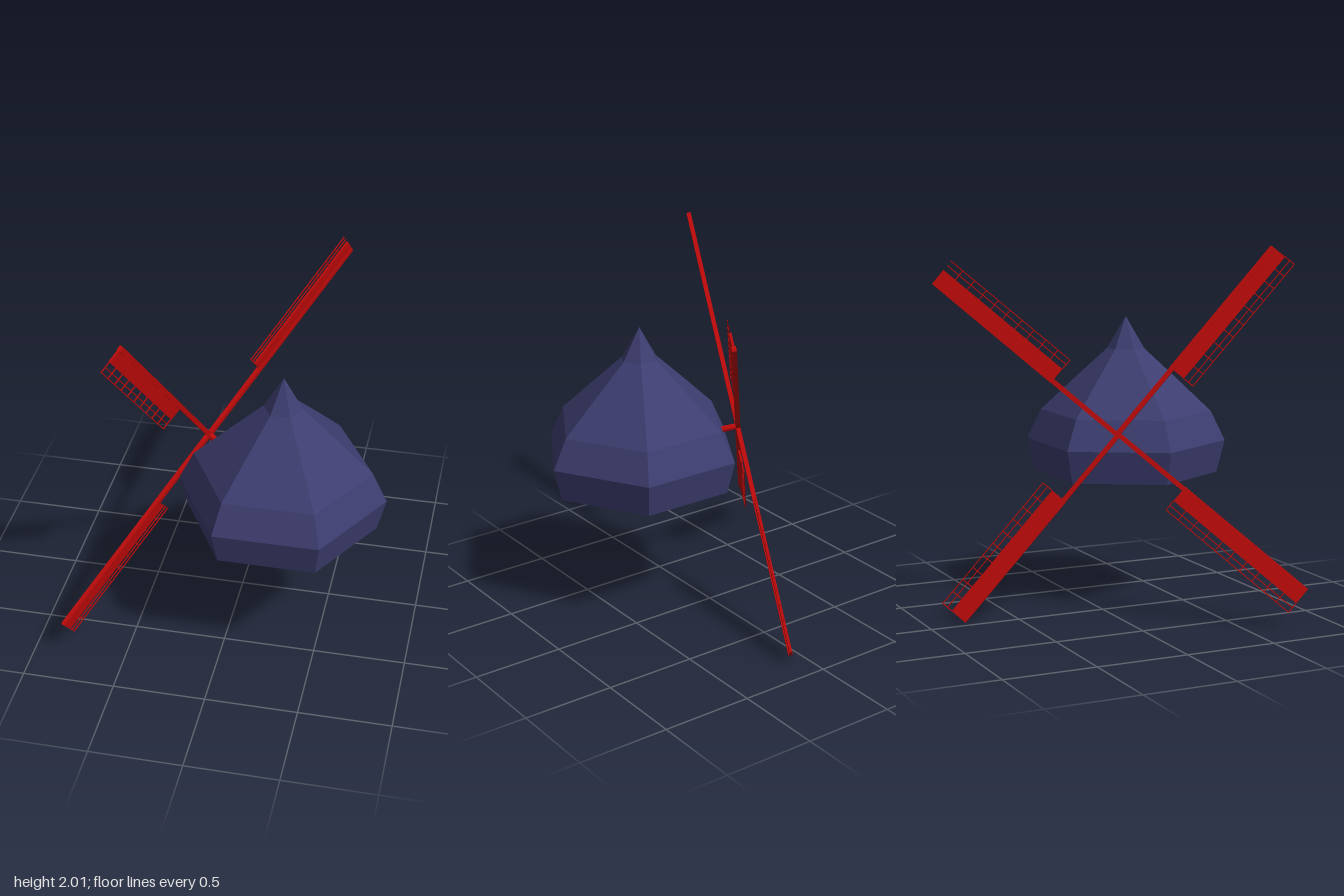
import * as THREE from 'three';

const red = new THREE.MeshStandardMaterial({ color: 0xc00a0a, flatShading: true });
const blue = new THREE.MeshStandardMaterial({ color: 0x3d3d70, flatShading: true, side: THREE.DoubleSide });
const grey = new THREE.MeshStandardMaterial({ color: 0xcccccc, side: THREE.DoubleSide });

function box(parent, name, w, h, d, x, y, z = 0) {
  const mesh = new THREE.Mesh(new THREE.BoxGeometry(w, h, d), red);
  mesh.name = name;
  mesh.position.set(x, y, z);
  parent.add(mesh);
}

// Six-sided onion cap with a closed underside
function makeCap() {
  const cap = new THREE.Group();
  cap.name = 'cap';
  const profile = [[0.515, 0.714], [0.56, 0.895], [0.48, 1.06], [0.3, 1.23], [0.105, 1.41], [0, 1.59]]
    .map(([r, y]) => new THREE.Vector2(r, y));
  const roof = new THREE.Mesh(new THREE.LatheGeometry(profile, 6, Math.PI / 2), blue);
  roof.name = 'capRoof';
  const floor = new THREE.Mesh(new THREE.CircleGeometry(0.515, 6), grey);
  floor.name = 'capUnderside';
  floor.rotation.x = Math.PI / 2;
  floor.position.y = 0.714;
  cap.add(roof, floor);
  cap.position.set(0.27, 0, 0.27);
  return cap;
}

// One arm along +y: spar, solid board and a lattice two cells wide
function makeSail(closedEnd) {
  const sail = new THREE.Group();
  sail.name = 'sail';
  const inner = 0.455, outer = 1.297, length = outer - inner, mid = (inner + outer) / 2;
  const boardEdge = 0.08, latticeEdge = 0.143, bar = 0.005, cells = 10;
  box(sail, 'spar', 0.026, outer - 0.005, 0.024, -0.003, outer / 2);
  box(sail, 'board', boardEdge + 0.018, length, 0.012, (boardEdge - 0.018) / 2, mid);
  for (const x of [(boardEdge + latticeEdge) / 2, latticeEdge])
    box(sail, 'latticeRail', bar, length, bar, x, mid);
  const last = closedEnd ? cells : cells - 1;
  for (let i = 0; i <= last; i++)
    box(sail, 'latticeRung', latticeEdge - boardEdge, bar, bar,
      (boardEdge + latticeEdge) / 2, inner + (length * i) / cells);
  return sail;
}

export function createModel() {
  const model = new THREE.Group();
  model.name = 'windmillTop';
  model.add(makeCap());

  // Wheel of four sails, facing out of one cap side and tilted slightly up
  const wheel = new THREE.Group();
  wheel.name = 'sailWheel';
  wheel.position.set(-0.19, 1, 0);
  wheel.rotation.set(THREE.MathUtils.degToRad(-10.6), THREE.MathUtils.degToRad(-120), 0, 'YXZ');
  for (let k = 0; k < 4; k++) {
    const sail = makeSail(k !== 1);
    sail.rotation.z = THREE.MathUtils.degToRad(-39 + 90 * k);
    wheel.add(sail);
  }

  // Axle running from the hub into the cap
  const axle = new THREE.Mesh(new THREE.CylinderGeometry(0.018, 0.018, 0.14, 8), red);
  axle.name = 'axle';
  axle.rotation.x = Math.PI / 2;
  axle.position.z = -0.06;
  wheel.add(axle);
  model.add(wheel);
  return model;
}
